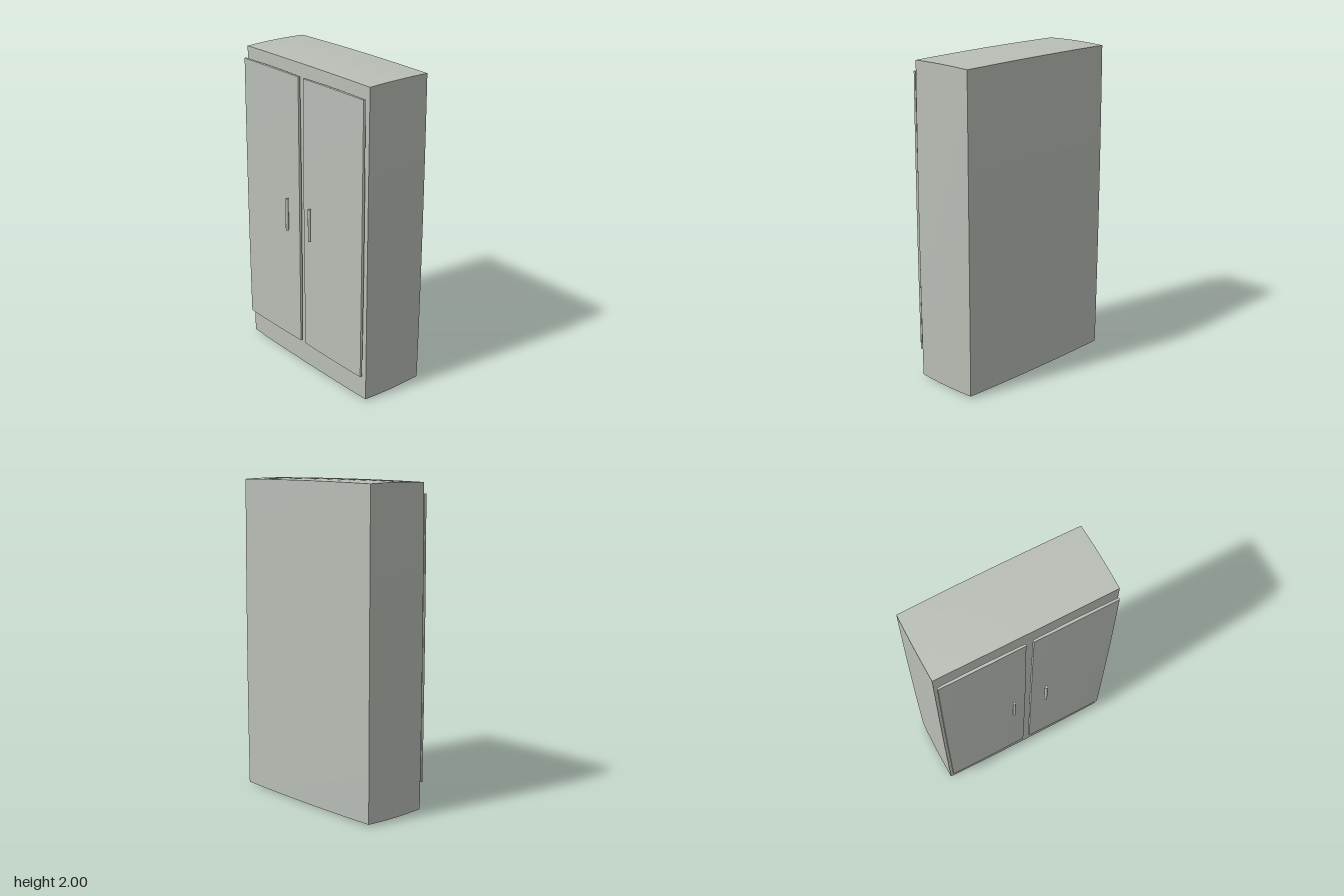
import * as THREE from 'three';

const grey = new THREE.MeshStandardMaterial({ color: 0xb9beb6 });
grey.name = 'warm grey';

// Box whose faces swell outward: full at each face centre, half at edge middles, none at corners
function pillowBox(size, bulge, segments) {
  const geo = new THREE.BoxGeometry(2, 2, 2, ...segments);
  const pos = geo.attributes.position;
  const half = size.map((s) => s / 2);
  for (let i = 0; i < pos.count; i++) {
    const n = [pos.getX(i), pos.getY(i), pos.getZ(i)];
    const p = n.map((c, a) => {
      const u = n[(a + 1) % 3], v = n[(a + 2) % 3];
      return c * (half[a] - bulge[a] * (u * u + v * v) / 2);
    });
    pos.setXYZ(i, ...p);
  }
  geo.computeVertexNormals();
  return geo;
}

function addPart(parent, name, geometry, x, y, z) {
  const mesh = new THREE.Mesh(geometry, grey);
  mesh.name = name;
  mesh.position.set(x, y, z);
  parent.add(mesh);
  return mesh;
}

export function createModel() {
  const group = new THREE.Group();
  group.name = 'wardrobe';

  // Carcass
  const bodyGeo = pillowBox([1.15, 1.998, 0.443], [0.006, 0.01, 0.007], [12, 16, 8]);
  addPart(group, 'body', bodyGeo, 0, 1.001, -0.0345);

  // Doors and their bar handles, standing clear of the front
  const doorGeo = pillowBox([0.544, 1.752, 0.022], [0.006, 0.004, 0.004], [8, 14, 4]);
  const handleGeo = new THREE.CylinderGeometry(0.01, 0.01, 0.21, 20);
  for (const side of [1, -1]) {
    const label = side > 0 ? 'left' : 'right';
    addPart(group, label + 'Door', doorGeo, side * 0.29, 1.049, 0.2075);
    addPart(group, label + 'Handle', handleGeo, side * 0.11, 1.034, 0.244);

    // Low round feet
    for (const z of [-0.175, 0.115]) {
      const footGeo = new THREE.CylinderGeometry(0.029, 0.029, 0.02, 24);
      addPart(group, label + (z > 0 ? 'FrontFoot' : 'BackFoot'), footGeo, side * 0.465, 0.01, z);
    }
  }
  return group;
}
